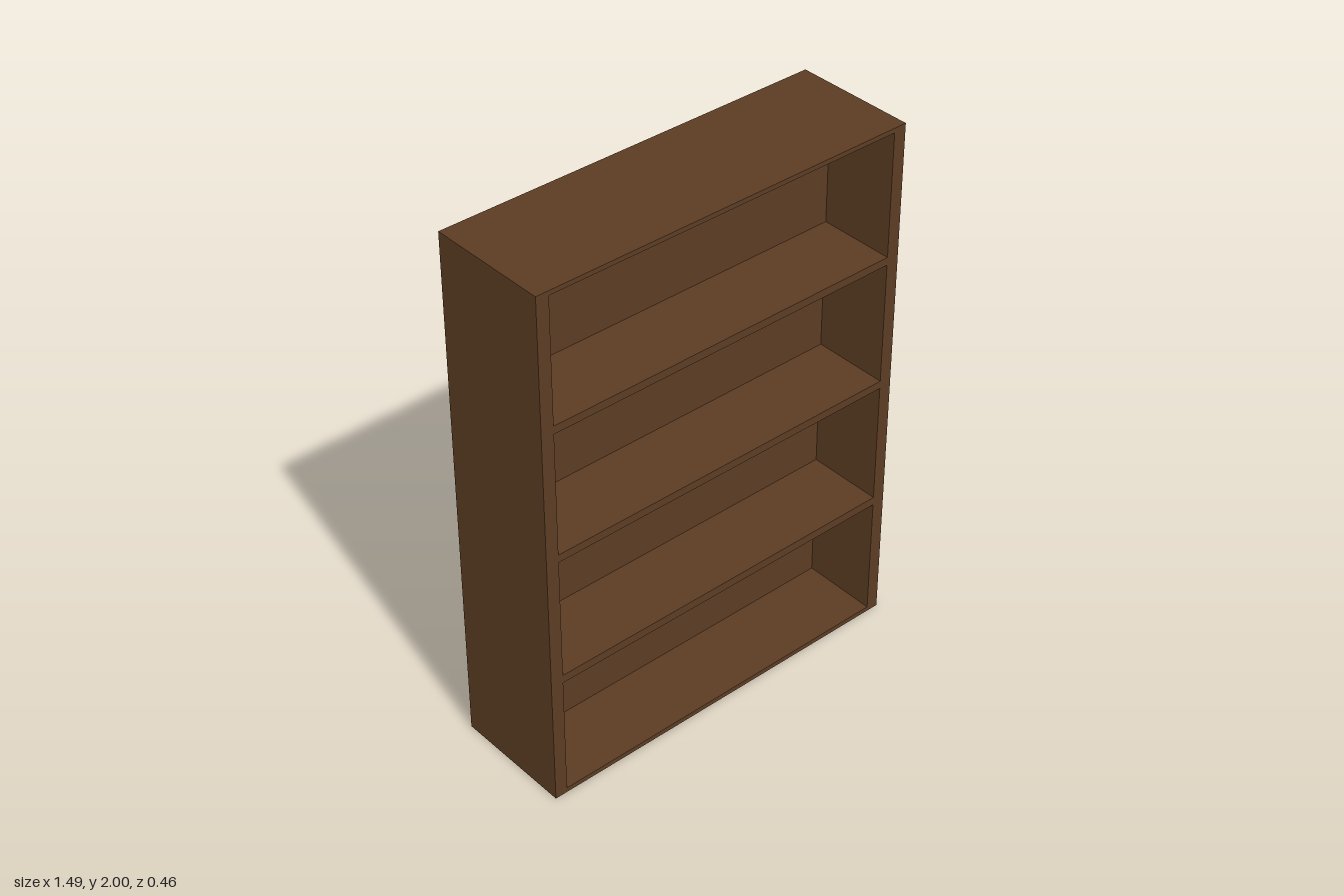
import * as THREE from 'three';

export function createModel() {
  const group = new THREE.Group();
  const wood = new THREE.MeshStandardMaterial({ color: 0x5c3c23 });
  wood.name = 'darkWood';

  const W = 1.49, H = 2, D = 0.46;   // overall size
  const side = 0.048;                // side panel thickness
  const backFace = -0.06;            // z of the inner back wall
  const innerW = W - 2 * side;

  // Box given by its extents in y and z, centred on x
  function board(name, w, x, y0, y1, z0, z1) {
    const mesh = new THREE.Mesh(new THREE.BoxGeometry(w, y1 - y0, z1 - z0), wood);
    mesh.position.set(x, (y0 + y1) / 2, (z0 + z1) / 2);
    mesh.name = name;
    group.add(mesh);
  }

  // Side panels
  for (const [name, s] of [['leftSide', 1], ['rightSide', -1]]) {
    board(name, side, s * (W - side) / 2, 0, H, -D / 2, D / 2);
  }

  // Thick back
  board('back', innerW, 0, 0, H, -D / 2, backFace);

  // Base, three shelves and top, flush with the front
  const levels = [
    ['base', 0, 0.018],
    ['lowerShelf', 0.489, 0.521],
    ['middleShelf', 0.991, 1.021],
    ['upperShelf', 1.487, 1.517],
    ['top', 1.983, H],
  ];
  for (const [name, y0, y1] of levels) board(name, innerW, 0, y0, y1, backFace, D / 2);

  return group;
}
